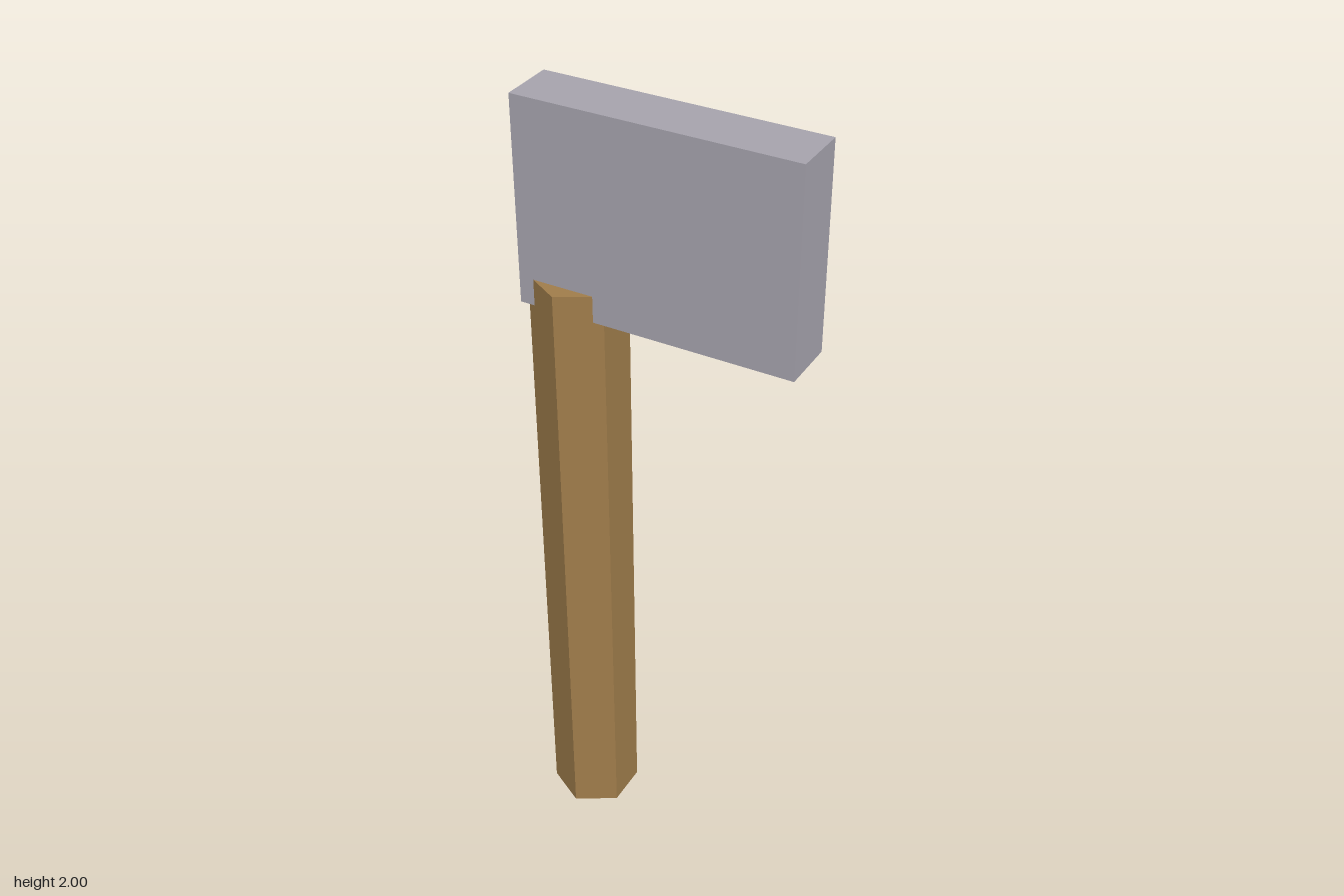
import * as THREE from 'three';

export function createModel() {
  const model = new THREE.Group();

  function addPart(name, geometry, color, x, y) {
    const material = new THREE.MeshStandardMaterial({ color, flatShading: true });
    const mesh = new THREE.Mesh(geometry, material);
    mesh.name = name;
    mesh.position.set(x, y, 0);
    model.add(mesh);
  }

  // Six-sided wooden handle, corners pointing to front and back
  const handleHeight = 1.573;
  addPart('handle', new THREE.CylinderGeometry(0.111, 0.111, handleHeight, 6), 0xa07d4b, -0.225, handleHeight / 2);

  // Slab blade, seated over the top of the handle
  const bladeBottom = 1.508;
  const bladeHeight = 2 - bladeBottom;
  addPart('blade', new THREE.BoxGeometry(0.672, bladeHeight, 0.135), 0xa6a3ad, 0, bladeBottom + bladeHeight / 2);

  return model;
}
